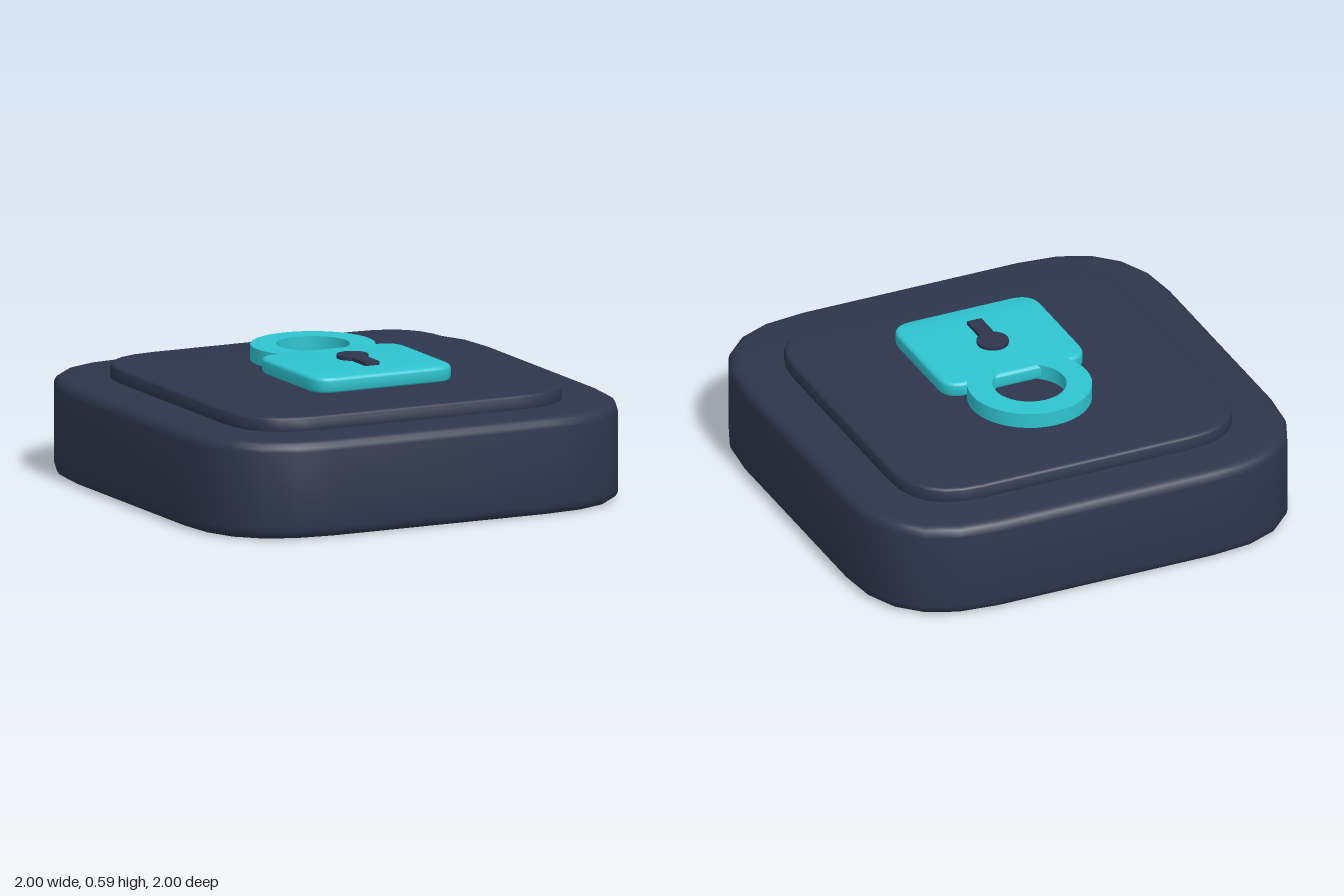
import * as THREE from 'three';
import { toCreasedNormals } from 'three/addons/utils/BufferGeometryUtils.js';

const navy = new THREE.MeshStandardMaterial({ color: 0x2e364d });
navy.name = 'navy';
const cyan = new THREE.MeshStandardMaterial({ color: 0x2ec4d0 });
cyan.name = 'cyan';

// Rectangle outline with soft quadratic corners
function softRect(halfW, y0, y1, r) {
  const s = new THREE.Shape();
  s.moveTo(-halfW + r, y0);
  s.lineTo(halfW - r, y0);
  s.quadraticCurveTo(halfW, y0, halfW, y0 + r);
  s.lineTo(halfW, y1 - r);
  s.quadraticCurveTo(halfW, y1, halfW - r, y1);
  s.lineTo(-halfW + r, y1);
  s.quadraticCurveTo(-halfW, y1, -halfW, y1 - r);
  s.lineTo(-halfW, y0 + r);
  s.quadraticCurveTo(-halfW, y0, -halfW + r, y0);
  return s;
}

// Lays an outline flat (shape y becomes -z) and raises it from bottom to top
function slab(name, shape, material, bottom, top, bevel, curveSegments) {
  const geo = new THREE.ExtrudeGeometry(shape, {
    depth: top - bottom - 2 * bevel,
    curveSegments,
    bevelEnabled: bevel > 0,
    bevelThickness: bevel,
    bevelSize: bevel,
    bevelOffset: -bevel,
    bevelSegments: 4,
  });
  geo.rotateX(-Math.PI / 2);
  geo.translate(0, bottom + bevel, 0);
  const mesh = new THREE.Mesh(toCreasedNormals(geo, 0.65), material);
  mesh.name = name;
  return mesh;
}

export function createModel() {
  const model = new THREE.Group();
  model.name = 'padlockButton';

  // Chunky base and raised panel
  model.add(slab('base', softRect(1, -1, 1, 0.5), navy, 0, 0.42, 0.045, 5));
  model.add(slab('panel', softRect(0.777, -0.777, 0.777, 0.3), navy, 0.4, 0.48, 0.02, 6));

  // Padlock floating just above the panel
  const padlock = new THREE.Group();
  padlock.name = 'padlock';
  padlock.add(slab('lockBody', softRect(0.333, -0.48, 0.1, 0.1), cyan, 0.503, 0.57, 0.016, 6));

  const ring = new THREE.Shape();
  ring.absarc(0, 0.215, 0.265, 0, Math.PI * 2);
  const hole = new THREE.Path();
  hole.absarc(0, 0.215, 0.157, 0, Math.PI * 2, true);
  ring.holes.push(hole);
  padlock.add(slab('shackle', ring, cyan, 0.503, 0.57, 0, 20));

  // Keyhole: round head with a straight slot below
  const r = 0.068, w = 0.033, headY = -0.153;
  const a = Math.asin(w / r);
  const keyhole = new THREE.Shape();
  keyhole.moveTo(-w, -0.338);
  keyhole.lineTo(w, -0.338);
  keyhole.absarc(0, headY, r, -Math.PI / 2 + a, Math.PI * 1.5 - a);
  keyhole.closePath();
  padlock.add(slab('keyhole', keyhole, navy, 0.575, 0.591, 0, 16));

  model.add(padlock);
  return model;
}
